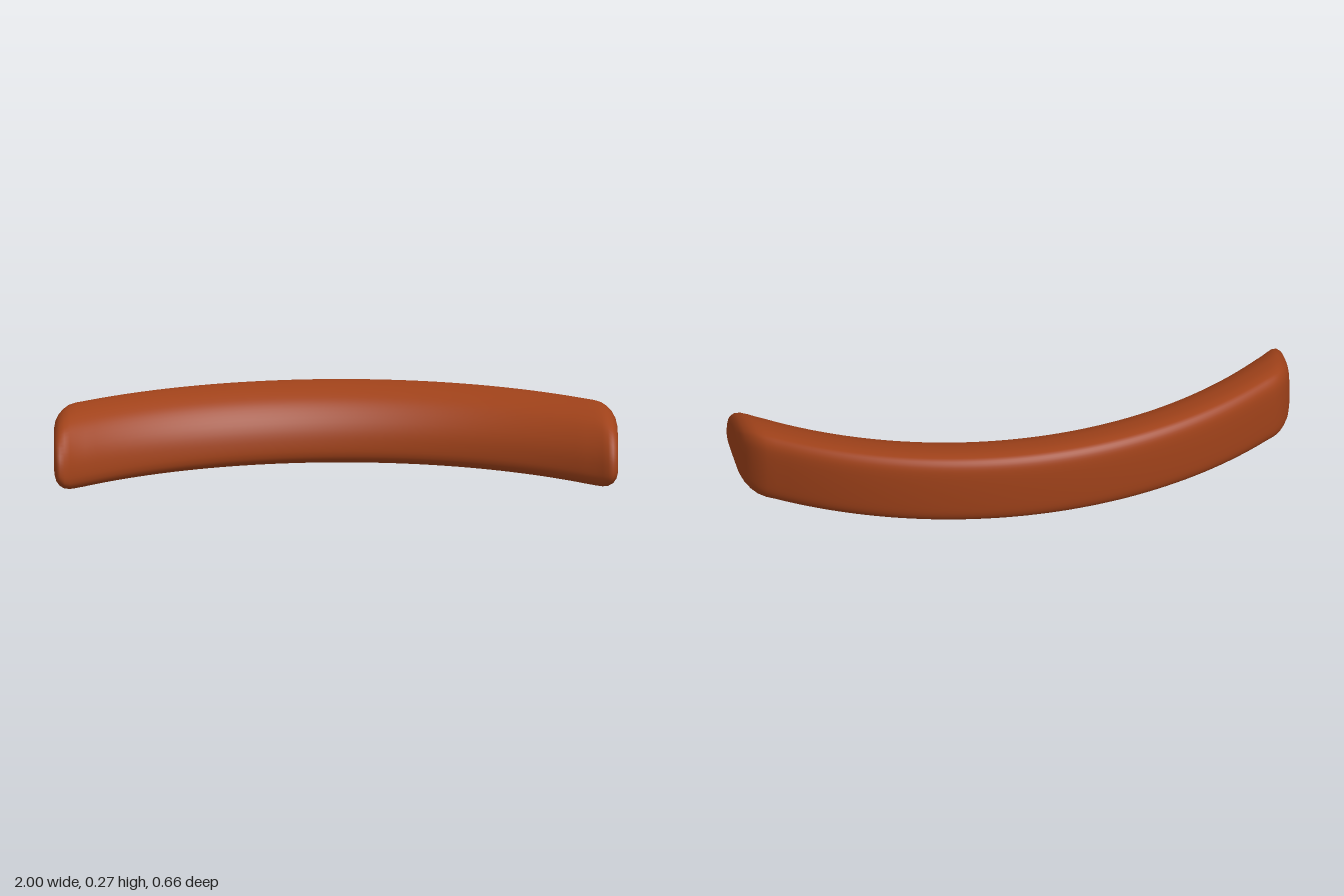
import * as THREE from 'three';

const MID_Y = 0.132;

// Cross-section: [depth fraction from front (0) to back (1), height]
const PROFILE = [
  [0, 0.06], [0.02, 0.11], [0.09, 0.16], [0.25, 0.215], [0.45, 0.247], [0.65, 0.262],
  [0.82, 0.265], [0.92, 0.256], [0.98, 0.23], [1, 0.19], [1, 0.085], [0.985, 0.04],
  [0.93, 0.011], [0.8, 0.001], [0.5, 0.001], [0.25, 0.005], [0.1, 0.014], [0.02, 0.035],
];

// Rounded end: [x, front z, back z, height scale]
const END = [
  [0.92, 0.279, -0.03, 1], [0.945, 0.303, -0.008, 0.98], [0.965, 0.322, 0.018, 0.92],
  [0.982, 0.329, 0.045, 0.82], [0.994, 0.319, 0.08, 0.69], [1, 0.3, 0.12, 0.53],
  [1, 0.285, 0.14, 0.43], [1, 0.21, 0.21, 0],
];

const sag = (x, radius) => radius - Math.sqrt(radius * radius - x * x);

function stations() {
  const list = [];
  // Curved body between the two ends
  for (let i = -24; i <= 24; i++) {
    const x = (i / 24) * 0.89;
    list.push([x, -0.06 + sag(x, 1.41), -0.33 + sag(x, 1.55), 1]);
  }
  const mirrored = END.map(([x, f, b, s]) => [-x, f, b, s]).reverse();
  return [...mirrored, ...list, ...END];
}

function cushionGeometry() {
  const curve = new THREE.CatmullRomCurve3(
    PROFILE.map(([f, y]) => new THREE.Vector3(f, y, 0)), true, 'centripetal');
  const n = PROFILE.length * 4;
  const ring = Array.from({ length: n }, (_, j) => curve.getPoint(j / n));
  const rows = stations();
  const positions = [], index = [];
  rows.forEach(([x, front, back, scale], i) => {
    ring.forEach((p, j) => {
      positions.push(x, MID_Y + (p.y - MID_Y) * scale, front + (back - front) * p.x);
      if (i === rows.length - 1) return;
      const k = (j + 1) % n;
      const a = i * n + j, b = a + n, c = i * n + k, d = c + n;
      index.push(a, b, c, b, d, c);
    });
  });
  const geometry = new THREE.BufferGeometry();
  geometry.setAttribute('position', new THREE.Float32BufferAttribute(positions, 3));
  geometry.setIndex(index);
  geometry.computeVertexNormals();
  return geometry;
}

export function createModel() {
  const group = new THREE.Group();
  group.name = 'curvedBackrest';
  const cushion = new THREE.Mesh(
    cushionGeometry(), new THREE.MeshStandardMaterial({ color: 0xa0421a }));
  cushion.name = 'cushion';
  group.add(cushion);
  return group;
}
